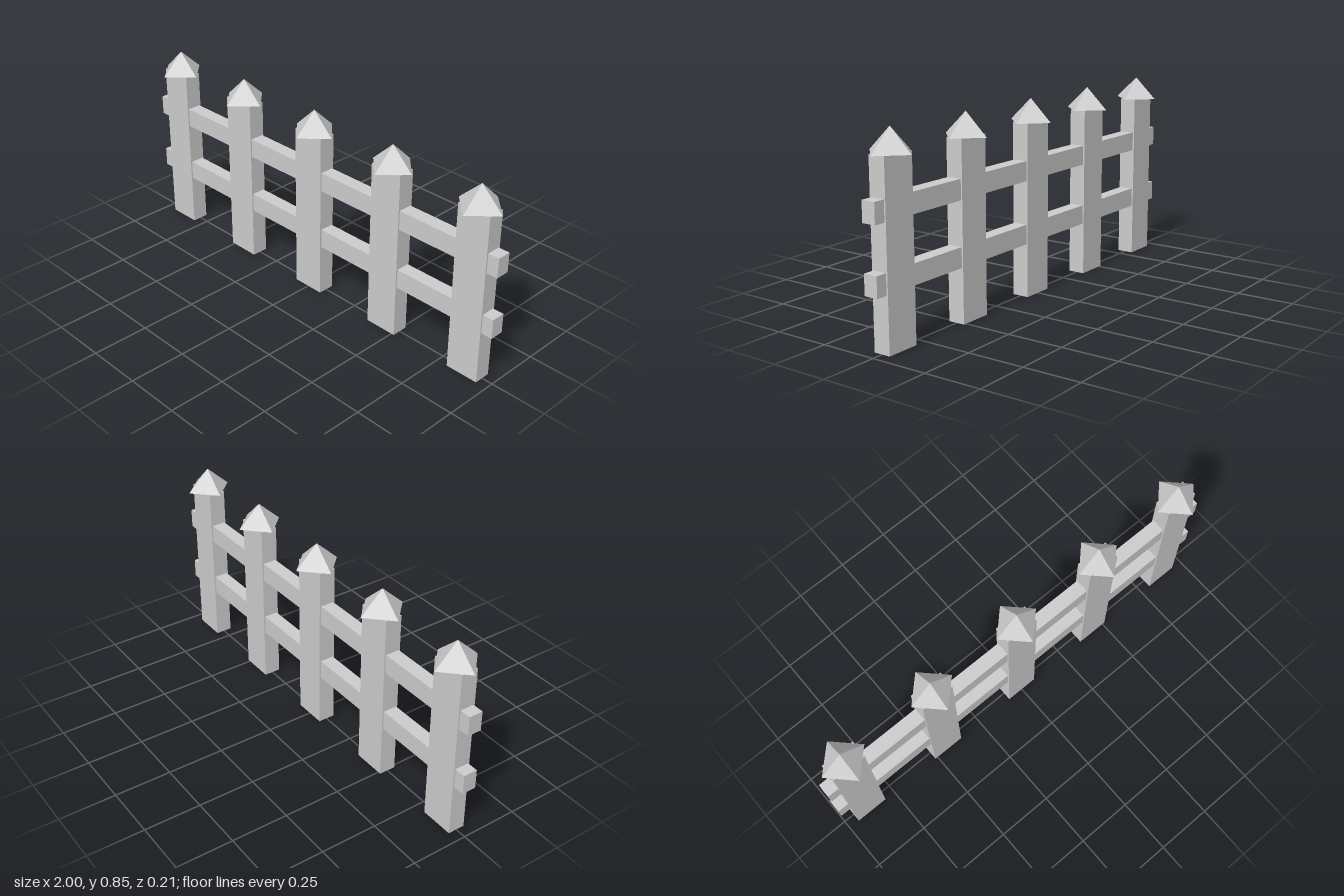
import * as THREE from 'three';

export function createModel() {
  const fence = new THREE.Group();
  fence.name = 'picketFence';

  const paint = new THREE.MeshStandardMaterial({ color: 0xcccccc, flatShading: true });
  paint.name = 'light grey';

  const add = (parent, geometry, name, x, y) => {
    const mesh = new THREE.Mesh(geometry, paint);
    mesh.name = name;
    mesh.position.set(x, y, 0);
    parent.add(mesh);
  };

  // Five pickets, each a flat post under a four-sided cap turned corner-forward
  const postHeight = 0.753, capHeight = 0.097, spacing = 0.4375;
  const postGeometry = new THREE.BoxGeometry(0.15, postHeight, 0.075);
  const capGeometry = new THREE.ConeGeometry(0.103, capHeight, 4);
  for (let i = -2; i <= 2; i++) {
    const picket = new THREE.Group();
    picket.name = 'picket';
    picket.position.x = i * spacing;
    add(picket, postGeometry, 'post', 0, postHeight / 2);
    add(picket, capGeometry, 'cap', 0, postHeight + capHeight / 2);
    fence.add(picket);
  }

  // Two rails running through the pickets
  const railGeometry = new THREE.BoxGeometry(2, 0.086, 0.062);
  add(fence, railGeometry, 'lowerRail', 0, 0.277);
  add(fence, railGeometry, 'upperRail', 0, 0.552);

  return fence;
}
